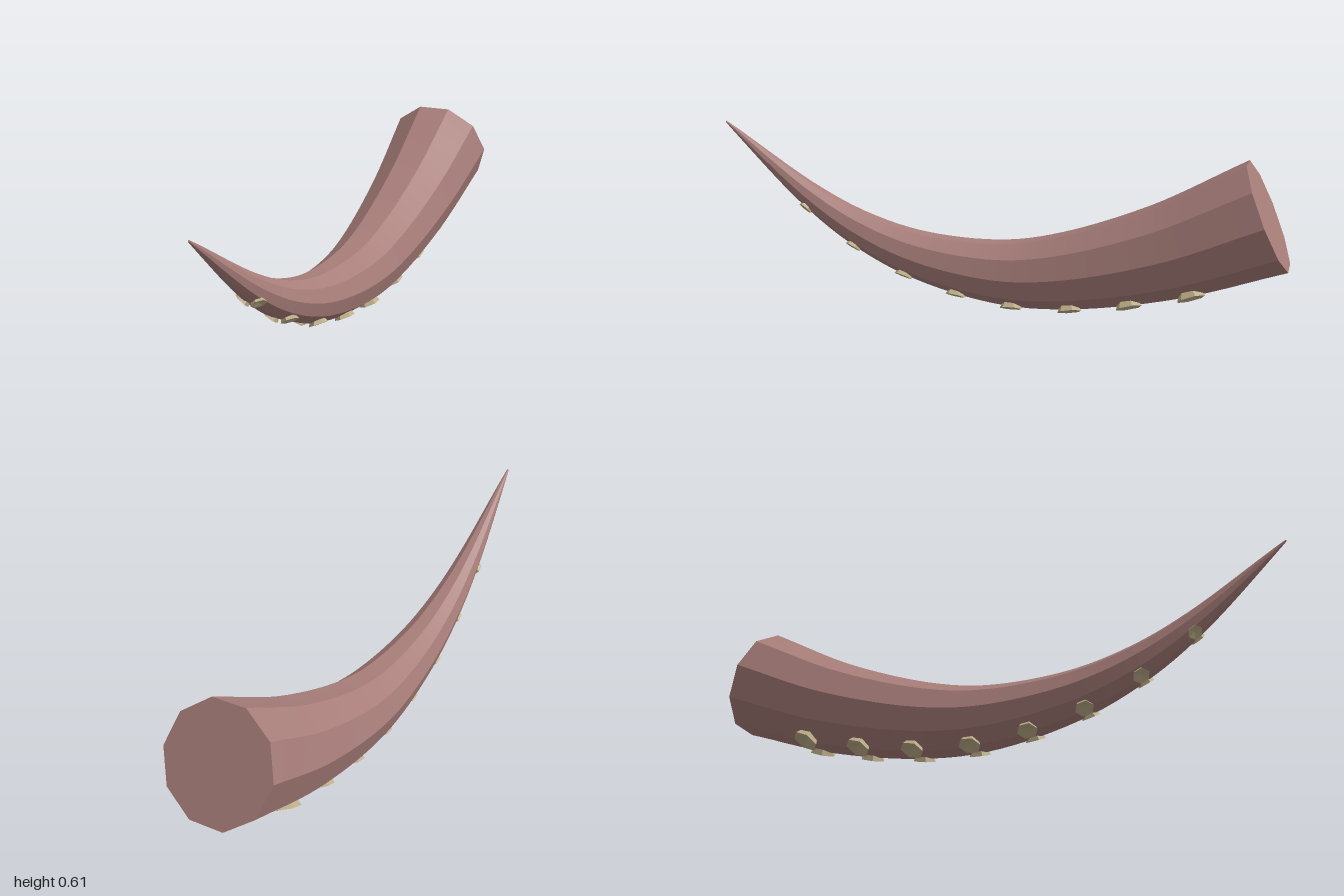
import * as THREE from 'three';

const SIDES = 10, STEPS = 48;

// Centre line, from the thick base (back) to the tip (front), as [z, y]
const curve = new THREE.CatmullRomCurve3([
  [-0.925, 0.392], [-0.6, 0.25], [-0.255, 0.154], [-0.03, 0.133],
  [0.266, 0.171], [0.485, 0.249], [0.68, 0.362], [1, 0.61],
].map(([z, y]) => new THREE.Vector3(0, y, z)), false, 'centripetal');

// Position, frame and radius at a fraction of the length
function section(u) {
  const p = curve.getPointAt(u), t = curve.getTangentAt(u);
  return { p, t, n: new THREE.Vector3(0, t.z, -t.y), r: 0.003 + 0.188 * Math.pow(1 - u, 0.93) };
}

// Point around a section: angle 0 is +x, 90 degrees is the upper side
function around(s, angle, radius = s.r) {
  return s.p.clone().addScaledVector(s.n, radius * Math.sin(angle))
    .add(new THREE.Vector3(radius * Math.cos(angle), 0, 0));
}

// Geometry from a list of points and triangle indices
function build(points, index) {
  const g = new THREE.BufferGeometry().setFromPoints(points);
  g.setIndex(index);
  g.computeVertexNormals();
  return g;
}

// Ten separate strips: smooth along the length, sharp between the sides
function bodyGeometry() {
  const points = [], index = [];
  const sections = Array.from({ length: STEPS + 1 }, (_, i) => section(i / STEPS));
  for (let j = 0; j < SIDES; j++) {
    const start = points.length;
    sections.forEach((s, i) => {
      for (const k of [j, j + 1]) points.push(around(s, k * 2 * Math.PI / SIDES));
      if (i === STEPS) return;
      const a = start + i * 2;
      index.push(a, a + 1, a + 2, a + 1, a + 3, a + 2);
    });
  }
  return build(points, index);
}

// Flat end: facing backwards at the base, forwards at the tip
function capGeometry(u, forward) {
  const s = section(u), points = [s.p], index = [];
  for (let j = 0; j < SIDES; j++) {
    points.push(around(s, j * 2 * Math.PI / SIDES));
    const a = j + 1, b = (j + 1) % SIDES + 1;
    index.push(0, ...(forward ? [a, b] : [b, a]));
  }
  return build(points, index);
}

// Fraction of the length at which the centre line reaches z
function fractionAt(z) {
  let lo = 0, hi = 1;
  for (let i = 0; i < 25; i++) {
    const mid = (lo + hi) / 2;
    if (curve.getPointAt(mid).z < z) lo = mid; else hi = mid;
  }
  return lo;
}

export function createModel() {
  const model = new THREE.Group();
  model.name = 'tentacle';
  const skin = new THREE.MeshStandardMaterial({ color: 0xa87e7a });
  skin.name = 'dusty pink skin';
  const pale = new THREE.MeshStandardMaterial({ color: 0xbdae88 });
  pale.name = 'pale sucker';
  pale.flatShading = true;
  pale.side = THREE.DoubleSide;

  const add = (name, geometry, material, parent = model) => {
    const mesh = new THREE.Mesh(geometry, material);
    mesh.name = name;
    parent.add(mesh);
    return mesh;
  };
  add('body', bodyGeometry(), skin);
  add('baseCap', capGeometry(0, false), skin);
  add('tipCap', capGeometry(1, true), skin);

  // Six-sided cup: flared wall and a shallow hollow, opening along +y
  const cup = new THREE.LatheGeometry([
    [0.72, -0.5], [1, 0.1], [0.85, 0.1], [0, -0.12],
  ].map(([x, y]) => new THREE.Vector2(x, y)), 6);

  // Eight mirrored pairs along the underside, shrinking towards the tip
  const suckers = new THREE.Group();
  suckers.name = 'suckers';
  model.add(suckers);
  for (let i = 0; i < 8; i++) {
    const s = section(fractionAt(-0.64 + i * 0.186));
    const tilt = Math.asin((0.012 + 0.3 * s.r) / s.r);
    const size = 0.018 + 0.18 * s.r;
    for (const side of [1, -1]) {
      const angle = -Math.PI / 2 + side * tilt;
      const mesh = add(side > 0 ? 'leftSucker' : 'rightSucker', cup, pale, suckers);
      mesh.position.copy(around(s, angle, s.r + 0.1 * size));
      const out = around(s, angle).sub(s.p).normalize();
      const across = new THREE.Vector3().crossVectors(out, s.t);
      mesh.quaternion.setFromRotationMatrix(new THREE.Matrix4().makeBasis(across, out, s.t));
      mesh.scale.setScalar(size);
    }
  }
  return model;
}
